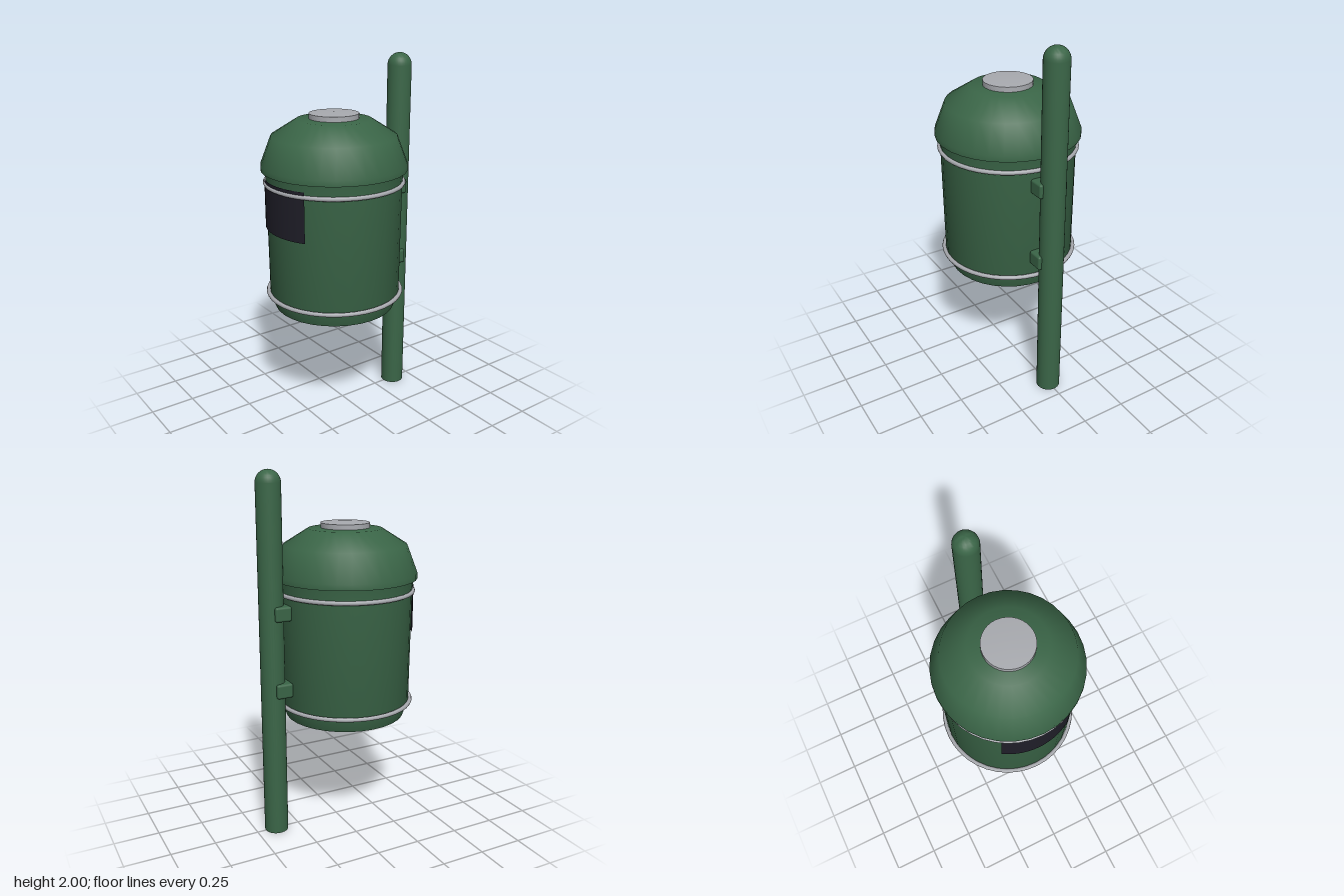
import * as THREE from 'three';
import { toCreasedNormals } from 'three/addons/utils/BufferGeometryUtils.js';
import { RoundedBoxGeometry } from 'three/addons/geometries/RoundedBoxGeometry.js';

const BIN_Z = 0.055;
const POST_Z = -0.384;

function material(name, color, side = THREE.FrontSide) {
  const m = new THREE.MeshStandardMaterial({ color, side });
  m.name = name;
  return m;
}

// Turned part from [radius, height] pairs listed bottom to top
function turned(profile, segments = 32) {
  const points = profile.map(([r, y]) => new THREE.Vector2(r, y));
  return toCreasedNormals(new THREE.LatheGeometry(points, segments), 0.75);
}

export function createModel() {
  const green = material('green paint', 0x3a6547);
  const steel = material('steel', 0xa9abb0);
  const dark = material('dark opening', 0x1f1e28, THREE.DoubleSide);

  const model = new THREE.Group();
  model.name = 'postMountedLitterBin';

  function add(name, geometry, mat, x, y, z, parent = model) {
    const mesh = new THREE.Mesh(geometry, mat);
    mesh.name = name;
    mesh.position.set(x, y, z);
    parent.add(mesh);
    return mesh;
  }

  // Post with a rounded top
  const r = 0.066;
  const postProfile = [[0, 0], [r, 0], [r, 2 - r]];
  for (let i = 1; i <= 8; i++) {
    const a = (i / 8) * Math.PI / 2;
    postProfile.push([i === 8 ? 0 : r * Math.cos(a), 2 - r + r * Math.sin(a)]);
  }
  add('post', turned(postProfile), green, 0, 0, POST_Z);

  // Bin, turned around its own axis in front of the post
  const bin = new THREE.Group();
  bin.name = 'bin';
  bin.position.z = BIN_Z;
  model.add(bin);

  add('body', turned([
    [0, 0.645], [0.335, 0.645], [0.362, 0.725], [0.367, 1.36], [0.374, 1.42],
  ]), green, 0, 0, 0, bin);

  add('lid', turned([
    [0.35, 1.42], [0.393, 1.42], [0.393, 1.45], [0.335, 1.6], [0.2, 1.685], [0, 1.695],
  ]), green, 0, 0, 0, bin);

  add('lidCap', turned([
    [0.133, 1.685], [0.133, 1.715], [0, 1.723],
  ]), steel, 0, 0, 0, bin);

  // Steel bands around the body
  for (const [name, y] of [['lowerBand', 0.727], ['upperBand', 1.352]]) {
    const band = add(name, new THREE.TorusGeometry(0.371, 0.012, 8, 40), steel, 0, y, 0, bin);
    band.rotation.x = Math.PI / 2;
  }

  // Curved opening panel on the front
  const half = 0.549;
  add('opening', new THREE.CylinderGeometry(0.374, 0.374, 0.27, 14, 1, true, -half, 2 * half),
    dark, 0, 1.245, 0, bin);

  // Brackets joining bin and post
  for (const [name, y] of [['lowerBracket', 0.845], ['upperBracket', 1.267]]) {
    add(name, new RoundedBoxGeometry(0.168, 0.08, 0.092, 2, 0.012), green, 0, y, -0.345);
  }

  return model;
}
